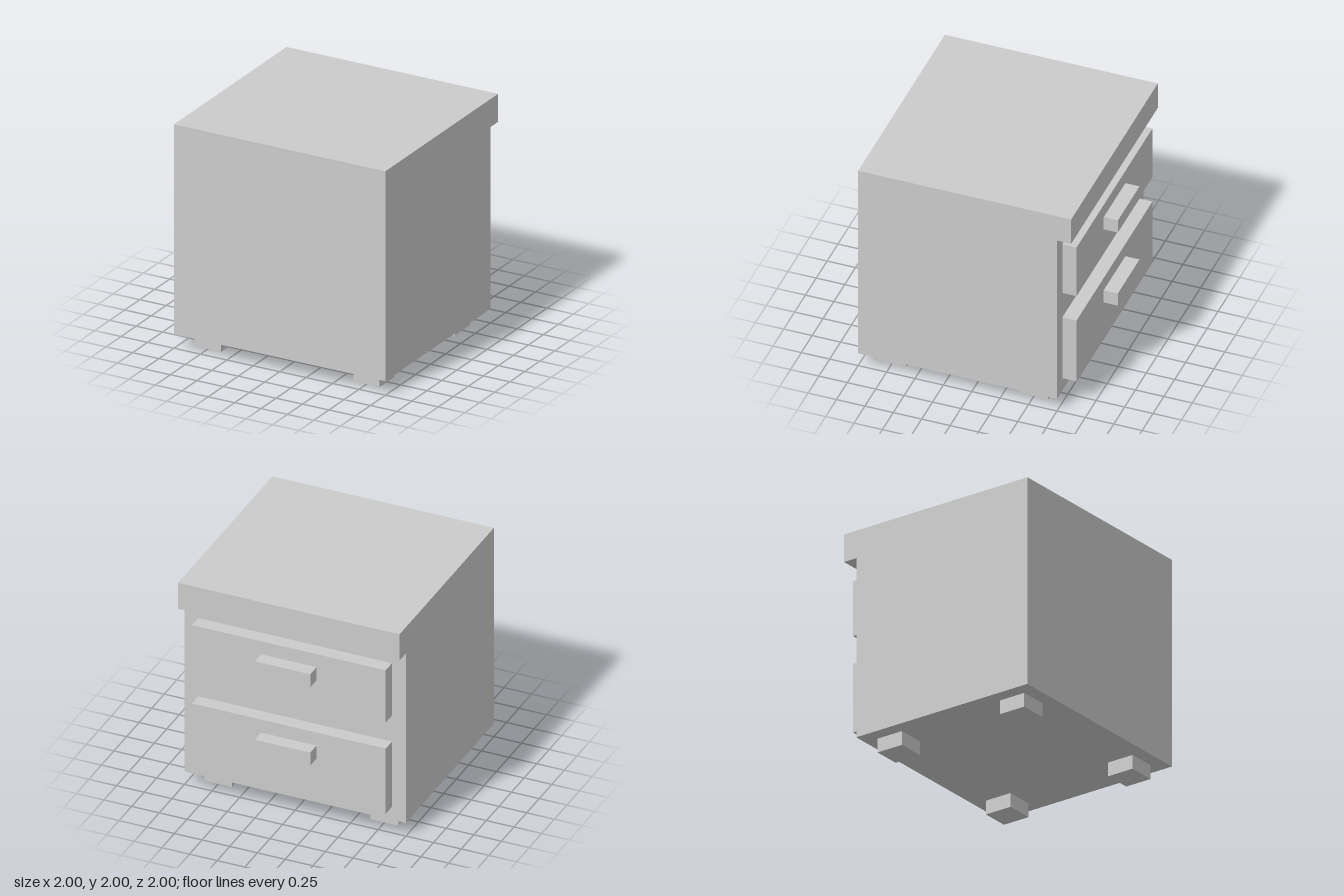
import * as THREE from 'three';

const material = new THREE.MeshStandardMaterial({ color: 0xcccccc, flatShading: true });

// Box given by its lower and upper limits on each axis
function block(name, [x0, x1], [y0, y1], [z0, z1]) {
  const mesh = new THREE.Mesh(new THREE.BoxGeometry(x1 - x0, y1 - y0, z1 - z0), material);
  mesh.position.set((x0 + x1) / 2, (y0 + y1) / 2, (z0 + z1) / 2);
  mesh.name = name;
  return mesh;
}

export function createModel() {
  const model = new THREE.Group();
  model.name = 'bedsideCabinet';

  // Cabinet with a top overhanging the drawer side: side profile (z, y) swept along x
  const profile = new THREE.Shape([
    [1, 0.125], [1, 2], [-0.875, 2], [-0.875, 1.75], [-0.75, 1.75], [-0.75, 0.125],
  ].map(([z, y]) => new THREE.Vector2(z, y)));
  const cabinetGeometry = new THREE.ExtrudeGeometry(profile, { depth: 2, bevelEnabled: false });
  cabinetGeometry.rotateY(-Math.PI / 2).translate(1, 0, 0);
  const cabinet = new THREE.Mesh(cabinetGeometry, material);
  cabinet.name = 'cabinet';
  model.add(cabinet);

  // Two drawers with bar handles: [name, bottom, top, handle bottom]
  for (const [name, bottom, top, grip] of [
    ['upperDrawer', 1.125, 1.625, 1.375],
    ['lowerDrawer', 0.25, 0.875, 0.625],
  ]) {
    const drawer = new THREE.Group();
    drawer.name = name;
    drawer.add(
      block('drawerFront', [-0.875, 0.875], [bottom, top], [-0.875, -0.75]),
      block('handle', [-0.25, 0.25], [grip, grip + 0.125], [-1, -0.875]),
    );
    model.add(drawer);
  }

  // Four square feet
  for (const x of [-0.75, 0.75]) {
    for (const z of [-0.5, 0.75]) {
      const name = (x > 0 ? 'left' : 'right') + (z > 0 ? 'Front' : 'Back') + 'Foot';
      model.add(block(name, [x - 0.125, x + 0.125], [0, 0.125], [z - 0.125, z + 0.125]));
    }
  }
  return model;
}
